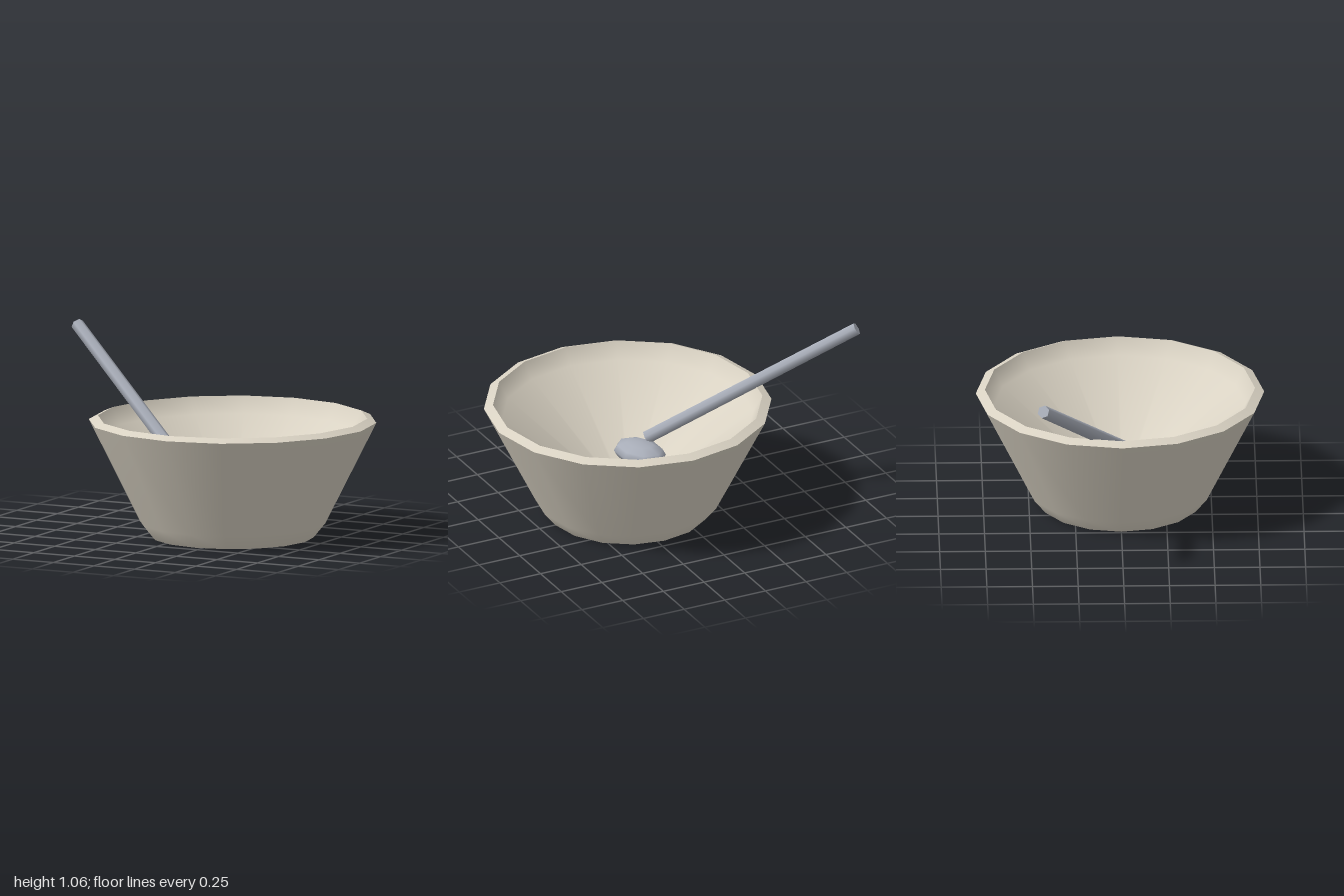
import * as THREE from 'three';

const SIDES = 16;

export function createModel() {
  const group = new THREE.Group();
  const clay = new THREE.MeshStandardMaterial({ color: 0xd9d2c3 });
  const metal = new THREE.MeshStandardMaterial({ color: 0xa8adb8 });

  // Bowl: one lathe per surface so that the edges between them stay sharp
  const bowl = new THREE.Group();
  bowl.name = 'bowl';
  bowl.position.x = 0.209;
  const profiles = {
    bowlBase: [[0, 0], [0.445, 0]],
    bowlOuterWall: [[0.445, 0], [0.51, 0.08], [0.79, 0.64]],
    bowlRim: [[0.79, 0.64], [0.74, 0.662]],
    // Funnel-shaped inside with a tiny well in the middle
    bowlInside: [[0.74, 0.662], [0.69, 0.57], [0.045, 0.07], [0.045, 0.01]],
    bowlWellFloor: [[0.045, 0.01], [0, 0.01]],
  };
  for (const [name, points] of Object.entries(profiles)) {
    const profile = points.map(([r, y]) => new THREE.Vector2(r, y));
    const mesh = new THREE.Mesh(new THREE.LatheGeometry(profile, SIDES), clay);
    mesh.name = name;
    bowl.add(mesh);
  }
  group.add(bowl);

  // Spoon leaning over the back right of the rim
  const spoon = new THREE.Group();
  spoon.name = 'spoon';

  const top = new THREE.Vector3(-0.975, 1.027, -0.44);
  const bottom = new THREE.Vector3(0.025, 0.335, 0.133);
  const axis = top.clone().sub(bottom);
  const handle = new THREE.Mesh(
    new THREE.CylinderGeometry(0.036, 0.038, axis.length(), 6), metal);
  handle.name = 'spoonHandle';
  handle.position.copy(top).add(bottom).multiplyScalar(0.5);
  handle.quaternion.setFromUnitVectors(new THREE.Vector3(0, 1, 0), axis.normalize());
  spoon.add(handle);

  // Flattened oval head
  const head = new THREE.Mesh(new THREE.SphereGeometry(1, 8, 6), metal);
  head.name = 'spoonHead';
  head.scale.set(0.118, 0.065, 0.168);
  head.position.set(0.083, 0.272, 0.1);
  head.rotation.y = 0.3;
  spoon.add(head);
  group.add(spoon);

  return group;
}
